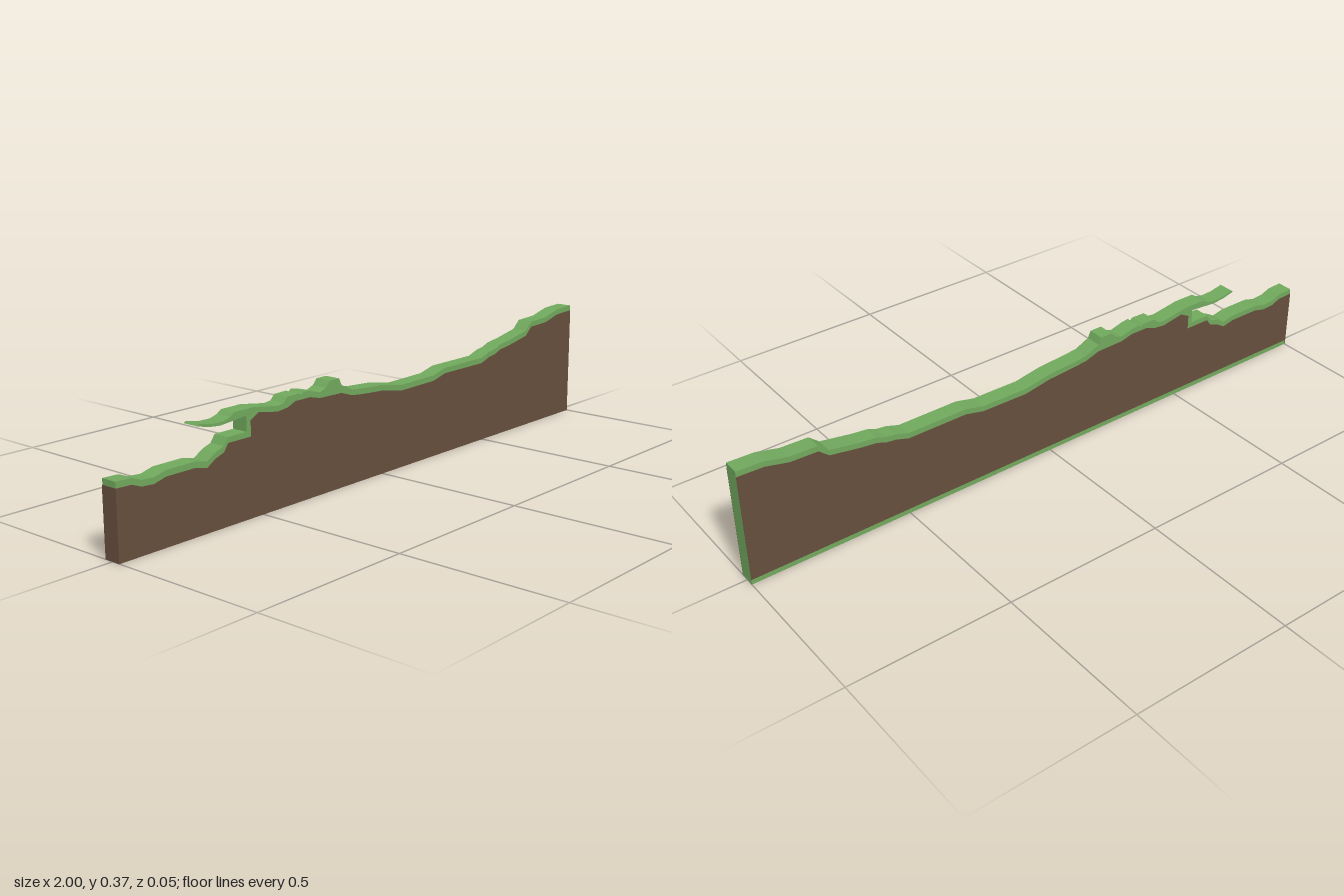
import * as THREE from 'three';

const DEPTH = 0.052, SKIN = 0.001, BAND = 0.017;

// Ground surface left of the notch, overhanging lip, and surface right of it
const lower = [[-1, .21], [-.95, .208], [-.92, .196], [-.88, .193], [-.84, .203], [-.74, .203], [-.7, .194],
  [-.67, .212], [-.64, .222], [-.625, .243]];
const lip = [[-.557, .243], [-.557, .287], [-.6, .283], [-.65, .279], [-.69, .283], [-.73, .293],
  [-.725, .298], [-.68, .289], [-.64, .288], [-.615, .295], [-.6, .305]];
const crest = [[-.53, .305], [-.51, .302], [-.44, .291], [-.415, .294], [-.4, .309], [-.355, .31], [-.345, .304],
  [-.335, .312], [-.31, .308], [-.27, .297], [-.245, .306], [-.23, .323], [-.19, .323], [-.18, .302]];
const slope = [[-.135, .281], [-.09, .276], [0, .27], [.09, .254], [.24, .256], [.3, .27], [.49, .27],
  [.53, .283], [.56, .287], [.59, .298], [.64, .304], [.735, .321], [.765, .347], [.85, .35], [.92, .367], [1, .37]];

// Top edge of the soil, one turf thickness below the surface
const drop = (points) => points.map(([x, y]) => [x, y - BAND]);
const soilTop = [...drop(lower), [-.622, .227], [-.541, .227], [-.541, .272], [-.51, .288], [-.44, .275],
  [-.4, .279], [-.37, .291], [-.31, .291], [-.27, .281], [-.18, .279], ...drop(slope)];

function slab(points, depth, material, name, z) {
  const shape = new THREE.Shape(points.map(([x, y]) => new THREE.Vector2(x, y)));
  const geometry = new THREE.ExtrudeGeometry(shape, { depth, bevelEnabled: false });
  geometry.translate(0, 0, z);
  const mesh = new THREE.Mesh(geometry, material);
  mesh.name = name;
  return mesh;
}

export function createModel() {
  const group = new THREE.Group();
  group.name = 'terrainSlice';
  const grass = new THREE.MeshStandardMaterial({ color: 0x70a85d });
  grass.name = 'grass green';
  const soil = new THREE.MeshStandardMaterial({ color: 0x664f3d });
  soil.name = 'soil brown';

  // Green body, including the top, base and high end
  const outline = [[-1, 0], ...lower, ...lip, ...crest, ...slope, [1, 0]];
  group.add(slab(outline, DEPTH - 2 * SKIN, grass, 'turf', -DEPTH / 2 + SKIN));

  // Brown faces; the back one leaves a green strip along the base
  const face = (base) => [[-1, base], ...soilTop, [1, base]];
  group.add(slab(face(0), SKIN, soil, 'frontSoil', DEPTH / 2 - SKIN));
  group.add(slab(face(.016), SKIN, soil, 'backSoil', -DEPTH / 2));

  // Brown low end
  const height = .21 - BAND;
  const end = new THREE.Mesh(new THREE.BoxGeometry(SKIN, height, DEPTH), soil);
  end.position.set(-1 - SKIN / 2, height / 2, 0);
  end.name = 'endSoil';
  group.add(end);
  return group;
}
